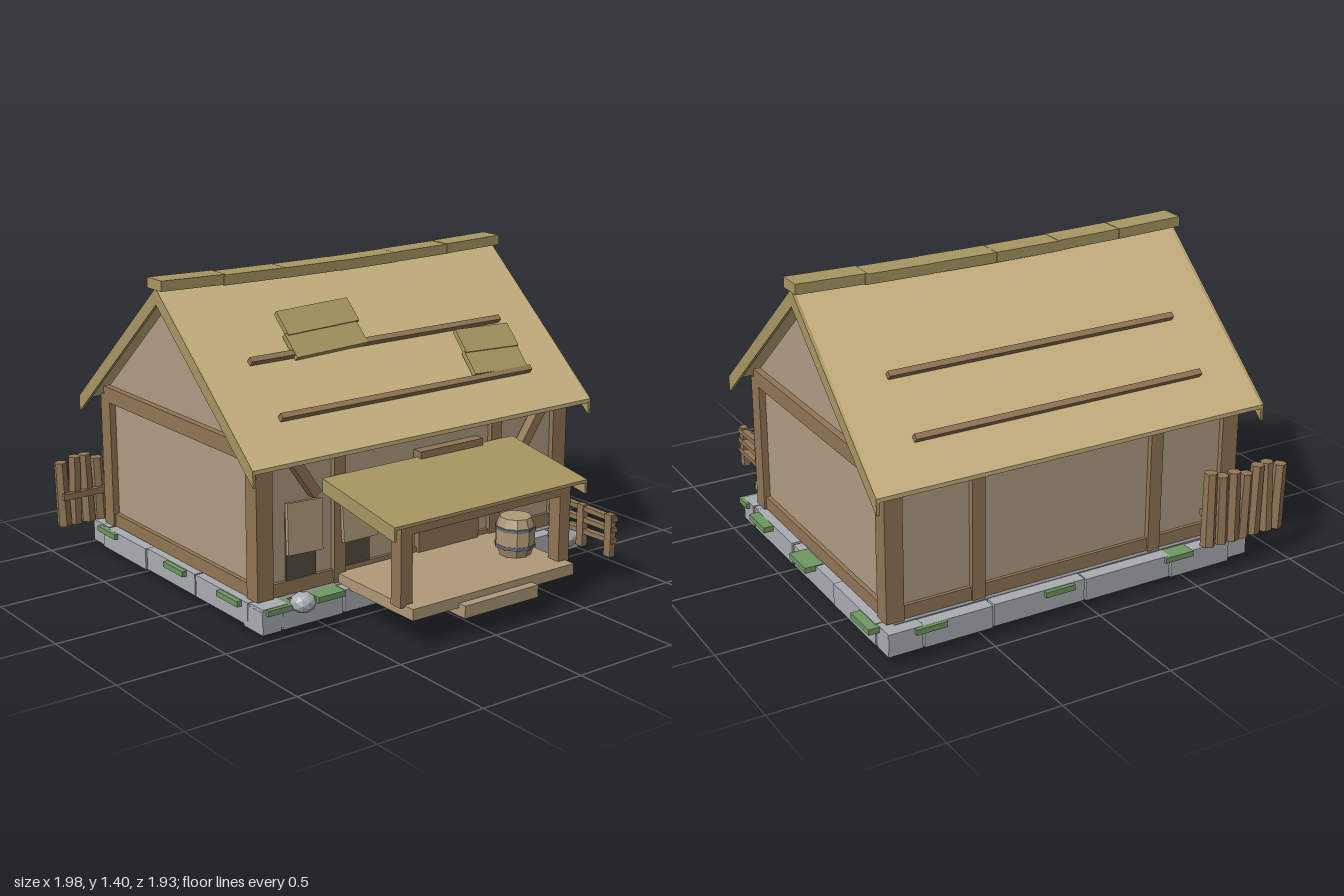
import * as THREE from 'three';

const mat = (color, side = THREE.FrontSide) => new THREE.MeshStandardMaterial({ color, side, flatShading: true });

export function createModel() {
  const root = new THREE.Group();
  const timber = mat(0x927656), plaster = mat(0xb09d84), thatch = mat(0xc9b380), thatchDark = mat(0xa89763);
  const stone = mat(0xa9adb2), slabGrey = mat(0x8a8d92), moss = mat(0x6f9660), plank = mat(0xb09a78);
  const dark = mat(0x544c42), iron = mat(0x66707c);
  const CX = 0.06, CZ = -0.215, SLOPE = 0.865, ANG = Math.atan(SLOPE);
  const roofY = z => 1.36 - SLOPE * Math.abs(z - CZ);

  let seed = 7;
  const rnd = () => (seed = (seed * 16807) % 2147483647) / 2147483647 - 0.5;

  const add = (name, geo, m, parent = root) => {
    const mesh = new THREE.Mesh(geo, m);
    mesh.name = name;
    parent.add(mesh);
    return mesh;
  };
  // box given by its extents
  const box = (name, x0, x1, y0, y1, z0, z1, m, parent = root) => {
    const b = add(name, new THREE.BoxGeometry(x1 - x0, y1 - y0, z1 - z0), m, parent);
    b.position.set((x0 + x1) / 2, (y0 + y1) / 2, (z0 + z1) / 2);
    return b;
  };
  // (z, y) outline extruded from x0 to x1
  const prism = (name, pts, x0, x1, m) => {
    const shape = new THREE.Shape(pts.map(([z, y]) => new THREE.Vector2(-z, y)));
    const g = new THREE.ExtrudeGeometry(shape, { depth: x1 - x0, bevelEnabled: false });
    g.rotateY(Math.PI / 2);
    g.translate(x0, 0, 0);
    return add(name, g, m);
  };

  // Foundation: slab, core and perimeter stones
  box('baseSlab', -0.73, 0.85, 0, 0.04, -0.79, 0.36, slabGrey);
  box('foundationCore', -0.76, 0.88, 0.035, 0.14, -0.86, 0.44, slabGrey);
  const xs = [-0.82, -0.72, -0.41, 0.02, 0.46, 0.78, 0.94];
  const zs = [-0.92, -0.82, -0.43, -0.02, 0.39, 0.5];
  for (let i = 0; i < xs.length - 1; i++) {
    for (const [z0, z1] of [[0.36, 0.5], [-0.92, -0.78]]) {
      const j = rnd() * 0.012;
      box('foundationStone', xs[i] + 0.004, xs[i + 1] - 0.004, 0.035 + j, 0.135 + j, z0 + j, z1 + j, stone);
    }
  }
  for (let i = 0; i < zs.length - 1; i++) {
    for (const [x0, x1] of [[-0.82, -0.7], [0.82, 0.94]]) {
      const j = rnd() * 0.012;
      box('foundationStone', x0 + j, x1 + j, 0.038 + j, 0.137 + j, zs[i] + 0.004, zs[i + 1] - 0.004, stone);
    }
  }
  // Moss patches along the stones
  for (const z of [-0.76, -0.17, 0.26]) {
    box('moss', 0.9, 0.985, 0.11, 0.135, z - 0.08, z + 0.08, moss);
    box('moss', -0.84, -0.76, 0.11, 0.135, z - 0.08, z + 0.08, moss);
  }
  for (const x of [-0.73, -0.48, 0.43, 0.89]) box('moss', x - 0.07, x + 0.07, 0.115, 0.14, 0.43, 0.515, moss);
  for (const x of [-0.45, 0.15, 0.75]) box('moss', x - 0.07, x + 0.07, 0.11, 0.135, -0.935, -0.86, moss);

  // Walls with gable ends
  const hz = 0.61;
  prism('walls', [[CZ + hz, 0.14], [CZ + hz, 0.79], [CZ, 1.32], [CZ - hz, 0.79], [CZ - hz, 0.14]], CX - 0.82, CX + 0.82, plaster);

  // Timber frame, mirrored on both axes
  for (const s of [-1, 1]) {
    const zc = CZ + s * 0.595;
    for (const x of [-0.75, -0.37, 0.49, 0.87]) {
      const w = Math.abs(x - CX) > 0.6 ? 0.04 : 0.03;
      box('wallPost', x - w, x + w, 0.14, 0.76, zc - 0.04, zc + 0.04, timber);
    }
    box('wallSill', -0.72, 0.84, 0.14, 0.2, zc - 0.03, zc + 0.03, timber);
    box('wallPlate', -0.78, 0.9, 0.73, 0.785, zc - 0.03, zc + 0.025, timber);
    const xc = CX + s * 0.81;
    box('gableSill', xc - 0.03, xc + 0.03, 0.14, 0.2, CZ - 0.56, CZ + 0.56, timber);
    box('gableBeam', xc - 0.04, xc + 0.04, 0.73, 0.8, CZ - 0.605, CZ + 0.605, timber);
    // short slanted brace under the front eave
    const b = add('eaveBrace', new THREE.BoxGeometry(0.045, 0.21, 0.045), timber);
    b.position.set(CX + s * 0.625, 0.65, 0.43);
    b.rotation.z = -s * 0.6;
  }

  // Main roof: two thin slopes, verge boards and ridge caps
  const X0 = -0.855, X1 = 0.98, half = 0.715;
  const band = t => [1, -1].map(s => {
    const z = CZ + s * half, e = 1.36 - SLOPE * half;
    return [[CZ, 1.36], [z, e], [z, e - t], [CZ, 1.36 - t]];
  });
  for (const p of band(0.018)) prism('roofSlope', p, X0, X1, thatch);
  for (const p of band(0.072)) {
    prism('vergeBoard', p, X0 - 0.002, X0 + 0.012, thatchDark);
    prism('vergeBoard', p, X1 - 0.012, X1 + 0.002, thatchDark);
  }
  for (let i = 0; i < 6; i++) {
    const w = (X1 - X0) / 6, x = X0 + w * (i + 0.5), u = (x - CX) / 0.92;
    const cap = add('ridgeCap', new THREE.BoxGeometry(w + 0.012, 0.045, 0.112), thatchDark);
    cap.position.set(x, 1.359 + 0.018 * u * u, CZ + rnd() * 0.008);
    cap.rotation.z = 0.03 * u + rnd() * 0.012;
  }
  // Roof battens
  for (const z of [0.35, 0.13, -0.57, -0.785]) {
    const b = add('roofBatten', new THREE.BoxGeometry(1.36, 0.03, 0.026), timber);
    b.position.set(CX, roofY(z) + 0.016, z);
    b.rotation.x = z > CZ ? ANG : -ANG;
  }
  // Overlapping repair boards on the front slope
  const patch = (x, z, w, len, turn) => {
    const g = new THREE.Group();
    g.name = 'roofPatch';
    g.position.set(x, roofY(z), z);
    g.rotation.set(ANG, 0, 0);
    root.add(g);
    for (const [k, h] of [[-1, 0.034], [1, 0.02]]) {
      const b = add('patchBoard', new THREE.BoxGeometry(w, 0.024, len / 2 + 0.012), thatchDark, g);
      b.position.set(-k * 0.004, h, k * len / 4);
      b.rotation.set(0.08, turn, 0);
    }
  };
  patch(-0.21, 0.05, 0.38, 0.22, 0.04);
  patch(0.58, 0.245, 0.3, 0.22, -0.04);

  // Porch: deck, step, posts, beams and lean-to roof
  box('porchDeck', -0.38, 0.5, 0.13, 0.18, 0.38, 0.925, plank);
  box('porchStep', -0.14, 0.26, 0.095, 0.15, 0.84, 0.965, plank);
  for (const x of [-0.37, 0.49]) box('porchPost', x - 0.03, x + 0.03, 0.17, 0.5, 0.805, 0.87, timber);
  box('porchBeam', -0.4, 0.52, 0.475, 0.533, 0.805, 0.87, timber);
  const lean = t => [[0.42, 0.617], [0.905, 0.537], [0.905, 0.537 - t], [0.42, 0.617 - t]];
  prism('porchRoof', lean(0.014), -0.46, 0.58, thatchDark);
  prism('porchVerge', lean(0.062), -0.462, -0.45, thatchDark);
  prism('porchVerge', lean(0.062), 0.57, 0.582, thatchDark);

  // Door with lintel and handle
  box('door', 0.05, 0.39, 0.18, 0.6, 0.38, 0.425, timber);
  box('doorLintel', 0.04, 0.39, 0.59, 0.645, 0.39, 0.445, timber);
  box('doorHandle', 0.33, 0.35, 0.375, 0.395, 0.42, 0.465, iron);

  // Windows: dark openings with hanging shutters
  for (const [x, turn] of [[-0.56, -0.04], [-0.28, 0]]) {
    box('windowOpening', x - 0.075, x + 0.075, 0.18, 0.5, 0.385, 0.405, dark);
    const s = add('windowShutter', new THREE.BoxGeometry(0.175, 0.22, 0.018), plank);
    s.position.set(x, 0.43, 0.428);
    s.rotation.set(-0.08, 0, turn);
  }

  // Barrel
  const barrel = new THREE.Group();
  barrel.name = 'barrel';
  barrel.position.set(0.385, 0.18, 0.675);
  root.add(barrel);
  const prof = [[0, 0], [0.07, 0], [0.088, 0.05], [0.088, 0.12], [0.07, 0.172], [0, 0.172]];
  add('barrelStaves', new THREE.LatheGeometry(prof.map(p => new THREE.Vector2(...p)), 10), plank, barrel);
  for (const y of [0.045, 0.125]) {
    add('barrelHoop', new THREE.CylinderGeometry(0.091, 0.091, 0.014, 10), iron, barrel).position.y = y;
  }

  // Side rail fence
  for (const z of [0.85, 0.675, 0.5]) box('fencePost', 0.77, 0.8, 0.13, 0.325, z - 0.02, z + 0.02, timber);
  for (const [i, y] of [0.2, 0.255, 0.308].entries()) {
    const r = box('fenceRail', 0.775, 0.805, y - 0.011, y + 0.011, 0.465, 0.878, timber);
    r.rotation.x = (i - 1) * 0.02;
  }

  // Log palisade at the back corner
  for (let i = 0; i < 7; i++) {
    const h = 0.32 + rnd() * 0.05;
    const log = add('palisadeLog', new THREE.CylinderGeometry(0.03, 0.034, h, 6), timber);
    log.position.set(-0.965 + i * 0.061, 0.14 + h / 2, -0.926 + rnd() * 0.012);
    log.rotation.set(rnd() * 0.03, rnd(), rnd() * 0.07);
  }
  box('palisadeRail', -0.98, -0.58, 0.27, 0.3, -0.91, -0.885, timber);

  // Boulders
  for (const [x, y, z, r] of [[0.785, 0.145, 0.56, 0.073], [-0.63, 0.14, 0.515, 0.056]]) {
    const b = add('boulder', new THREE.IcosahedronGeometry(r, 1), stone);
    b.position.set(x, y, z);
    b.scale.y = 0.8;
    b.rotation.y = x;
  }
  return root;
}
